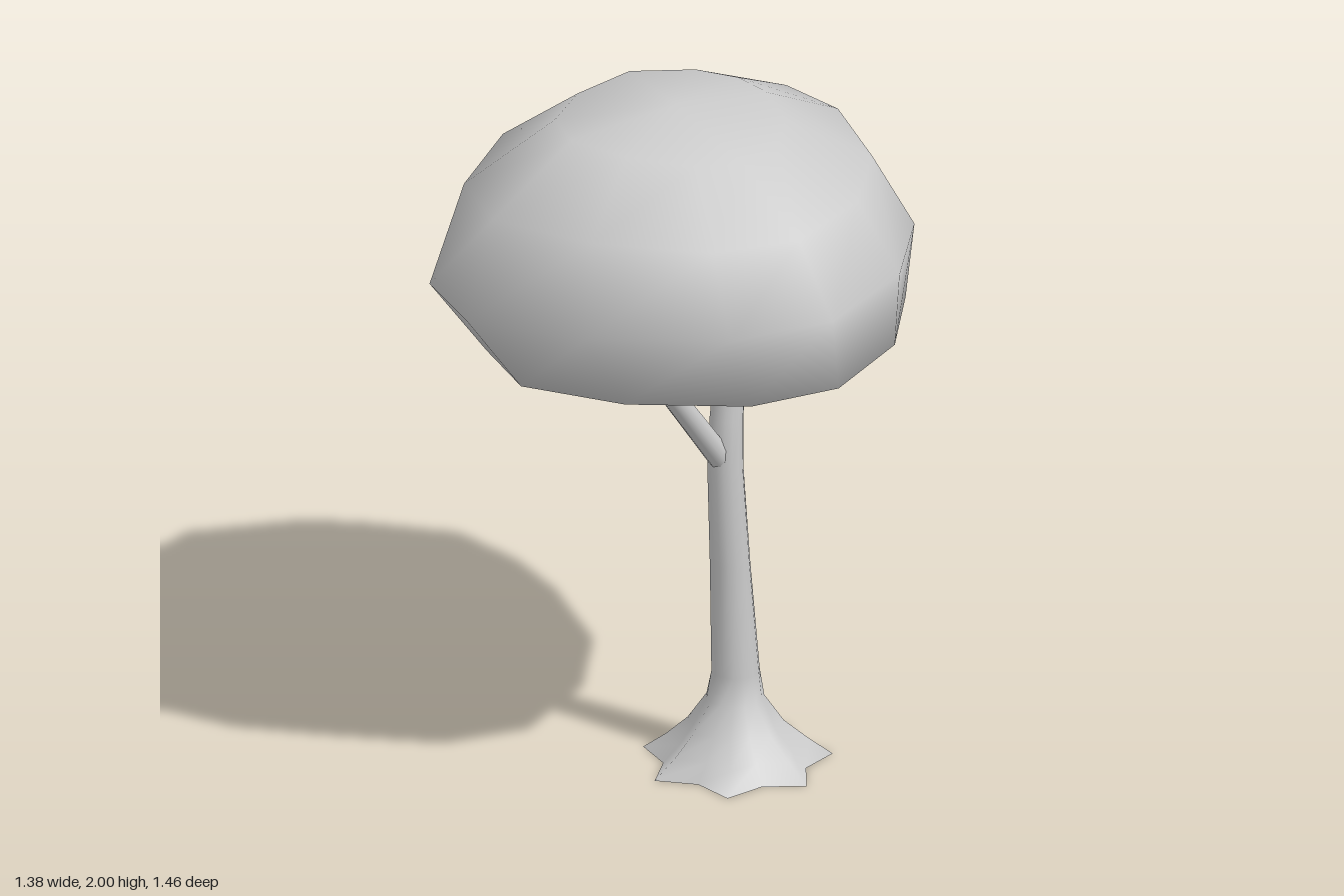
import * as THREE from 'three';

const material = new THREE.MeshStandardMaterial({ color: 0xcccccc, side: THREE.DoubleSide });

// Skin closed rings (bottom to top) with shared vertices; optional pole points close the ends
function loft(rings, bottom, top) {
  const n = rings[0].length;
  const pos = rings.flat(2);
  const index = [];
  for (let r = 0; r < rings.length - 1; r++) {
    for (let i = 0; i < n; i++) {
      const j = (i + 1) % n;
      const a = r * n + i, b = r * n + j;
      index.push(a, a + n, b, b, a + n, b + n);
    }
  }
  const cap = (pole, start, flip) => {
    const p = pos.length / 3;
    pos.push(...pole);
    for (let i = 0; i < n; i++) {
      const a = start + i, b = start + (i + 1) % n;
      index.push(...(flip ? [p, a, b] : [p, b, a]));
    }
  };
  if (bottom) cap(bottom, 0, true);
  if (top) cap(top, (rings.length - 1) * n, false);
  const geo = new THREE.BufferGeometry();
  geo.setAttribute('position', new THREE.Float32BufferAttribute(pos, 3));
  geo.setIndex(index);
  geo.computeVertexNormals();
  return geo;
}

function addMesh(group, name, geo) {
  const mesh = new THREE.Mesh(geo, material);
  mesh.name = name;
  group.add(mesh);
  return mesh;
}

// Bent trunk: [x, y, z, radius, lobe depth], flaring into star-shaped roots
function trunkGeometry() {
  const sections = [
    [0.07, 0, -0.115, 0.235, 0.14],
    [0.07, 0.05, -0.115, 0.18, 0.12],
    [0.07, 0.11, -0.11, 0.126, 0.08],
    [0.07, 0.19, -0.11, 0.08, 0.02],
    [0.07, 0.27, -0.113, 0.067, 0],
    [0.074, 0.6, -0.087, 0.056, 0],
    [0.08, 0.9, -0.062, 0.05, 0],
    [0.08, 1.05, -0.067, 0.047, 0],
    [0.08, 1.22, -0.083, 0.042, 0],
    [0.08, 1.36, -0.095, 0.038, 0],
  ];
  const sides = 14;
  const rings = sections.map(([x, y, z, r, lobe]) =>
    Array.from({ length: sides }, (_, i) => {
      const a = (i / sides) * Math.PI * 2;
      const rr = r * (1 + lobe * (i % 2 ? -1 : 1));
      return [x + Math.cos(a) * rr, y, z + Math.sin(a) * rr];
    }));
  return loft(rings, null, [0.08, 1.37, -0.096]);
}

// Tapered limb between two points
function limb(group, name, from, to, r0, r1) {
  const a = new THREE.Vector3(...from), b = new THREE.Vector3(...to);
  const dir = b.clone().sub(a);
  const mesh = addMesh(group, name, new THREE.CylinderGeometry(r1, r0, dir.length(), 10));
  mesh.position.copy(a).add(b).multiplyScalar(0.5);
  mesh.quaternion.setFromUnitVectors(new THREE.Vector3(0, 1, 0), dir.normalize());
}

// Irregular crown: one plan outline scaled, shifted and tilted at each level
function canopyGeometry() {
  const outline = [
    [-0.25, -0.73], [0.01, -0.71], [0.37, -0.51], [0.6, -0.21], [0.69, 0.15], [0.56, 0.42],
    [0.22, 0.64], [-0.15, 0.725], [-0.43, 0.58], [-0.63, 0.2], [-0.69, -0.28], [-0.48, -0.61],
  ];
  // centre x, y, z, scale x, scale z, slope along x, slope along z
  const levels = [
    [0.09, 1.24, -0.07, 0.48, 0.44, 0.03, -0.02],
    [0.055, 1.335, -0.03, 0.88, 0.85, 0.06, -0.04],
    [0, 1.54, 0, 1, 1, 0.08, -0.01],
    [-0.01, 1.79, 0.015, 0.82, 0.86, 0, 0.02],
    [0, 1.95, 0.04, 0.46, 0.49, -0.05, 0.08],
  ];
  const rings = levels.map(([cx, cy, cz, sx, sz, tx, tz]) =>
    outline.map(([x, z]) => [cx + x * sx, cy + x * sx * tx + z * sz * tz, cz + z * sz]));
  return loft(rings, [0.1, 1.205, -0.07], [0, 2, 0.05]);
}

export function createModel() {
  const tree = new THREE.Group();
  tree.name = 'tree';
  addMesh(tree, 'trunk', trunkGeometry());
  limb(tree, 'frontBranch', [0.08, 0.93, -0.045], [0.08, 1.33, 0.265], 0.035, 0.029);
  limb(tree, 'backBranch', [0.06, 0.99, -0.09], [-0.13, 1.32, -0.29], 0.03, 0.025);
  addMesh(tree, 'canopy', canopyGeometry());
  return tree;
}
